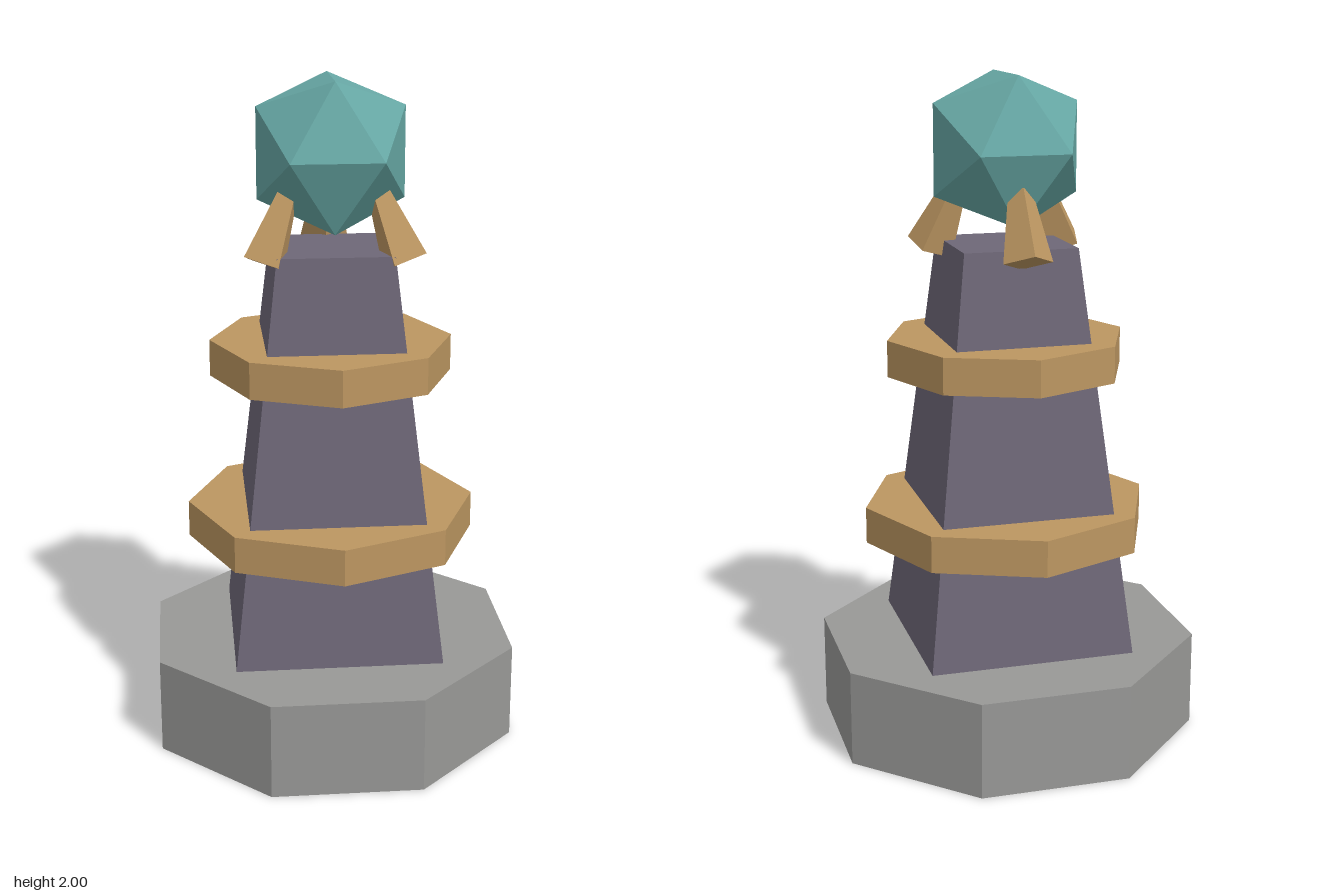
import * as THREE from 'three';

const flat = (name, color, side = THREE.FrontSide) => {
  const m = new THREE.MeshStandardMaterial({ color, side, flatShading: true });
  m.name = name;
  return m;
};

export function createModel() {
  const stone = flat('grey stone', 0x989896, THREE.DoubleSide);
  const slate = flat('purple slate', 0x6e6777);
  const bronze = flat('bronze', 0xbc9661);
  const crystal = flat('teal crystal', 0x67a8a5);

  const model = new THREE.Group();
  model.name = 'crystalObelisk';

  // Upright prism or frustum between two heights
  const prism = (name, rTop, rBottom, y0, y1, sides, turn, material) => {
    const geo = new THREE.CylinderGeometry(rTop, rBottom, y1 - y0, sides);
    geo.rotateY(turn);
    const mesh = new THREE.Mesh(geo, material);
    mesh.name = name;
    mesh.position.y = (y0 + y1) / 2;
    model.add(mesh);
  };

  // Octagonal plinth, hollow and open underneath, with a flat side to the front
  const profile = [[0.582, 0], [0.582, 0.29], [0, 0.29]].map(([x, y]) => new THREE.Vector2(x, y));
  const base = new THREE.Mesh(new THREE.LatheGeometry(profile, 8, Math.PI / 8), stone);
  base.name = 'base';
  model.add(base);

  // Tapered square shaft standing on the plinth
  const r = Math.SQRT2;
  prism('shaft', 0.171 * r, 0.31 * r, 0.291, 1.508, 4, Math.PI / 4, slate);

  // Octagonal collars with a corner to the front
  prism('lowerCollar', 0.437, 0.437, 0.61, 0.72, 8, 0, bronze);
  prism('upperCollar', 0.363, 0.363, 1.12, 1.23, 8, 0, bronze);

  // Three claws leaning inward to hold the crystal
  [Math.PI, Math.PI / 3, -Math.PI / 3].forEach((angle, i) => {
    const geo = new THREE.CylinderGeometry(0.036, 0.074, 0.21, 4);
    geo.translate(0, 0.105, 0);
    const claw = new THREE.Mesh(geo, bronze);
    claw.rotation.x = -0.41;
    claw.position.set(0, 1.483, 0.235);
    const arm = new THREE.Group();
    arm.name = ['backClaw', 'leftClaw', 'rightClaw'][i];
    arm.rotation.y = angle;
    arm.add(claw);
    model.add(arm);
  });

  // Faceted crystal, an edge uppermost running front to back
  const gem = new THREE.Mesh(new THREE.IcosahedronGeometry(0.255, 0), crystal);
  gem.name = 'crystal';
  gem.rotation.y = Math.PI / 2;
  gem.position.y = 1.783;
  model.add(gem);

  return model;
}
